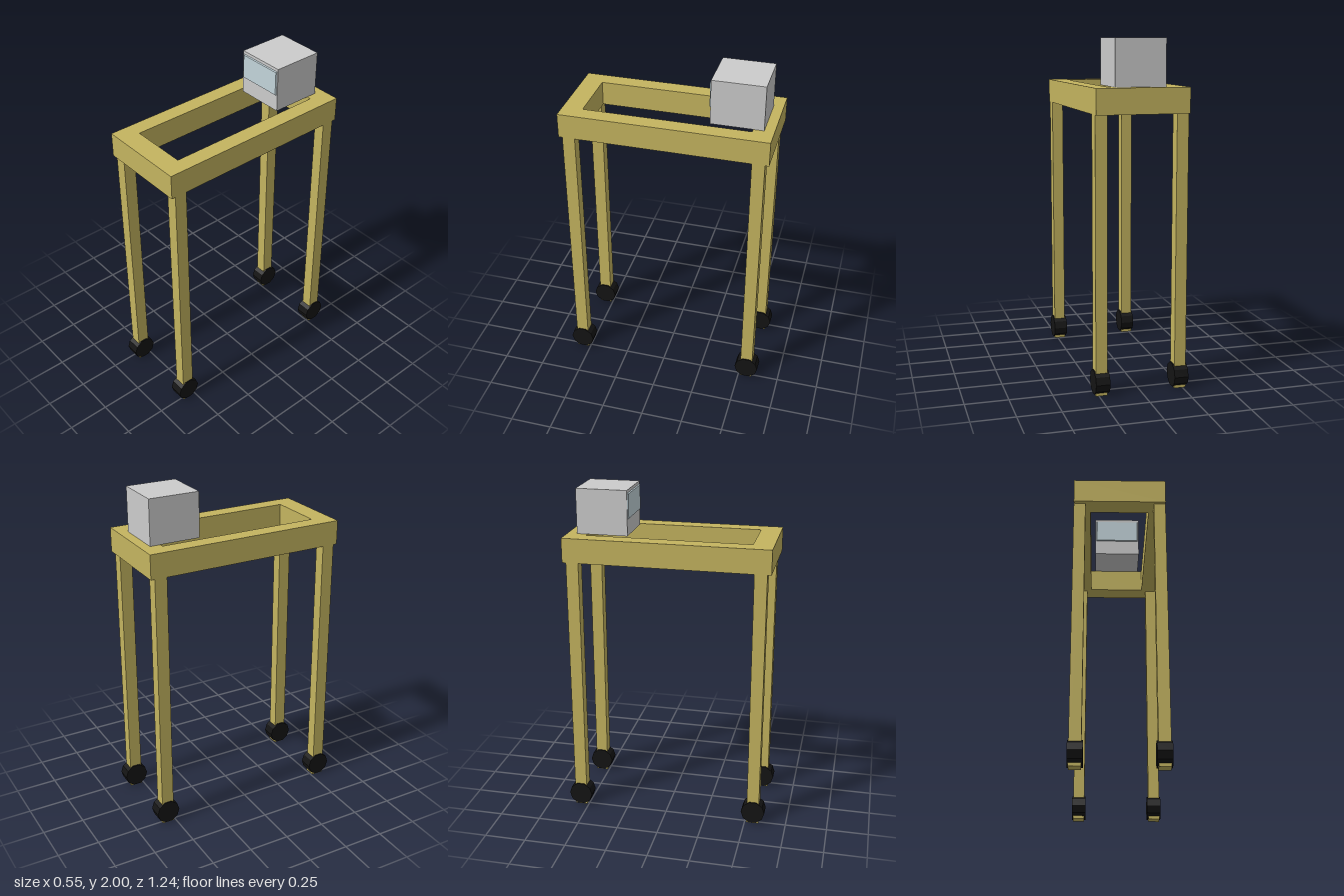
import * as THREE from 'three';

const olive = new THREE.MeshStandardMaterial({ color: 0xc4b45f, flatShading: true });
const black = new THREE.MeshStandardMaterial({ color: 0x141414, flatShading: true });
const grey = new THREE.MeshStandardMaterial({ color: 0xcccccc, flatShading: true });
const glass = new THREE.MeshStandardMaterial({ color: 0xc3d4da, flatShading: true });

function addMesh(parent, name, geometry, material, x, y, z) {
  const mesh = new THREE.Mesh(geometry, material);
  mesh.name = name;
  mesh.position.set(x, y, z);
  parent.add(mesh);
  return mesh;
}

function rectangle(path, halfW, halfD) {
  path.moveTo(-halfW, -halfD);
  path.lineTo(halfW, -halfD);
  path.lineTo(halfW, halfD);
  path.lineTo(-halfW, halfD);
  path.closePath();
  return path;
}

export function createModel() {
  const model = new THREE.Group();
  model.name = 'rollingFrame';

  // Open rectangular top frame
  const outline = rectangle(new THREE.Shape(), 0.268, 0.608);
  outline.holes.push(rectangle(new THREE.Path(), 0.172, 0.488));
  const frame = new THREE.ExtrudeGeometry(outline, { depth: 0.145, bevelEnabled: false });
  frame.rotateX(-Math.PI / 2);
  addMesh(model, 'topFrame', frame, olive, 0, 1.589, 0);

  // Four legs, each running down through a ten-sided wheel
  const legGeometry = new THREE.BoxGeometry(0.068, 1.59, 0.074);
  const wheelGeometry = new THREE.CylinderGeometry(0.072, 0.072, 0.083, 10);
  wheelGeometry.rotateZ(Math.PI / 2);
  for (const [sx, side] of [[1, 'Left'], [-1, 'Right']]) {
    for (const [sz, end] of [[1, 'front'], [-1, 'back']]) {
      addMesh(model, `${end}${side}Leg`, legGeometry, olive, sx * 0.234, 0.795, sz * 0.548);
      addMesh(model, `${end}${side}Wheel`, wheelGeometry, black, sx * 0.233, 0.075, sz * 0.548);
    }
  }

  // Control box standing on the back of the frame
  addMesh(model, 'controlBox', new THREE.BoxGeometry(0.292, 0.266, 0.304), grey, 0, 1.867, -0.398);

  // Raised screen with its front face slightly narrowed
  const screen = new THREE.BoxGeometry(0.284, 0.155, 0.012);
  const p = screen.attributes.position;
  for (let i = 0; i < p.count; i++) {
    if (p.getZ(i) > 0) p.setXY(i, p.getX(i) * 0.95, p.getY(i) * 0.92);
  }
  screen.computeVertexNormals();
  addMesh(model, 'screen', screen, glass, 0, 1.907, -0.245);

  return model;
}
